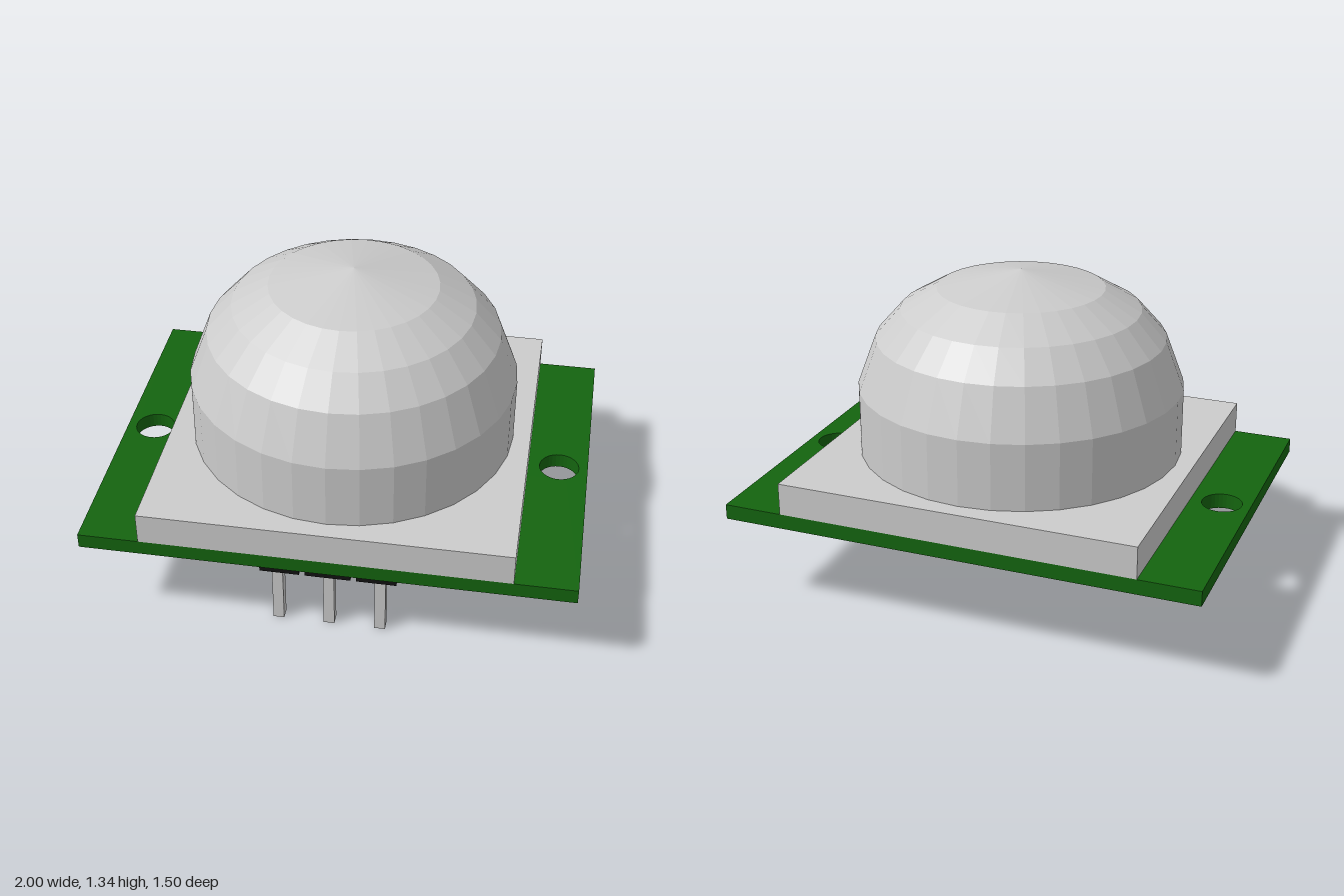
import * as THREE from 'three';

const grey = new THREE.MeshStandardMaterial({ color: 0xcccccc, flatShading: true });
const green = new THREE.MeshStandardMaterial({ color: 0x14640f, flatShading: true });
const black = new THREE.MeshStandardMaterial({ color: 0x111111, flatShading: true });

function add(parent, name, geometry, material, x = 0, y = 0, z = 0) {
  const mesh = new THREE.Mesh(geometry, material);
  mesh.name = name;
  mesh.position.set(x, y, z);
  parent.add(mesh);
  return mesh;
}

export function createModel() {
  const model = new THREE.Group();
  model.name = 'motionSensor';

  // Circuit board with a mounting hole at each side
  const outline = new THREE.Shape();
  outline.moveTo(-1, -0.75).lineTo(1, -0.75).lineTo(1, 0.75).lineTo(-1, 0.75).closePath();
  for (const side of [-1, 1]) {
    outline.holes.push(new THREE.Path().absarc(side * 0.88, 0, 0.083, 0, Math.PI * 2, true));
  }
  const boardGeometry = new THREE.ExtrudeGeometry(outline, { depth: 0.063, bevelEnabled: false, curveSegments: 16 });
  boardGeometry.rotateX(-Math.PI / 2);
  add(model, 'circuitBoard', boardGeometry, green, 0, 0.378, 0);

  // Square base under the lens
  add(model, 'lensBase', new THREE.BoxGeometry(1.5, 0.135, 1.5), grey, 0, 0.5085, 0);

  // Faceted dome lens: straight wall, then narrowing rings to a shallow cone
  const profile = [
    [0.677, 0.57], [0.677, 0.855], [0.6, 1.06], [0.495, 1.178], [0.345, 1.265], [0, 1.338],
  ].map(([r, y]) => new THREE.Vector2(r, y));
  add(model, 'domeLens', new THREE.LatheGeometry(profile, 32), grey);

  // Three-pin header below the front edge
  const header = new THREE.Group();
  header.name = 'pinHeader';
  for (const i of [-1, 0, 1]) {
    const width = i === 0 ? 0.187 : 0.163;
    add(header, 'pinHousing', new THREE.BoxGeometry(width, 0.108, 0.092), black, i * 0.199, 0.325, 0.61);
    add(header, 'pin', new THREE.BoxGeometry(0.045, 0.3, 0.046), grey, i * 0.212, 0.15, 0.61);
  }
  model.add(header);

  return model;
}
